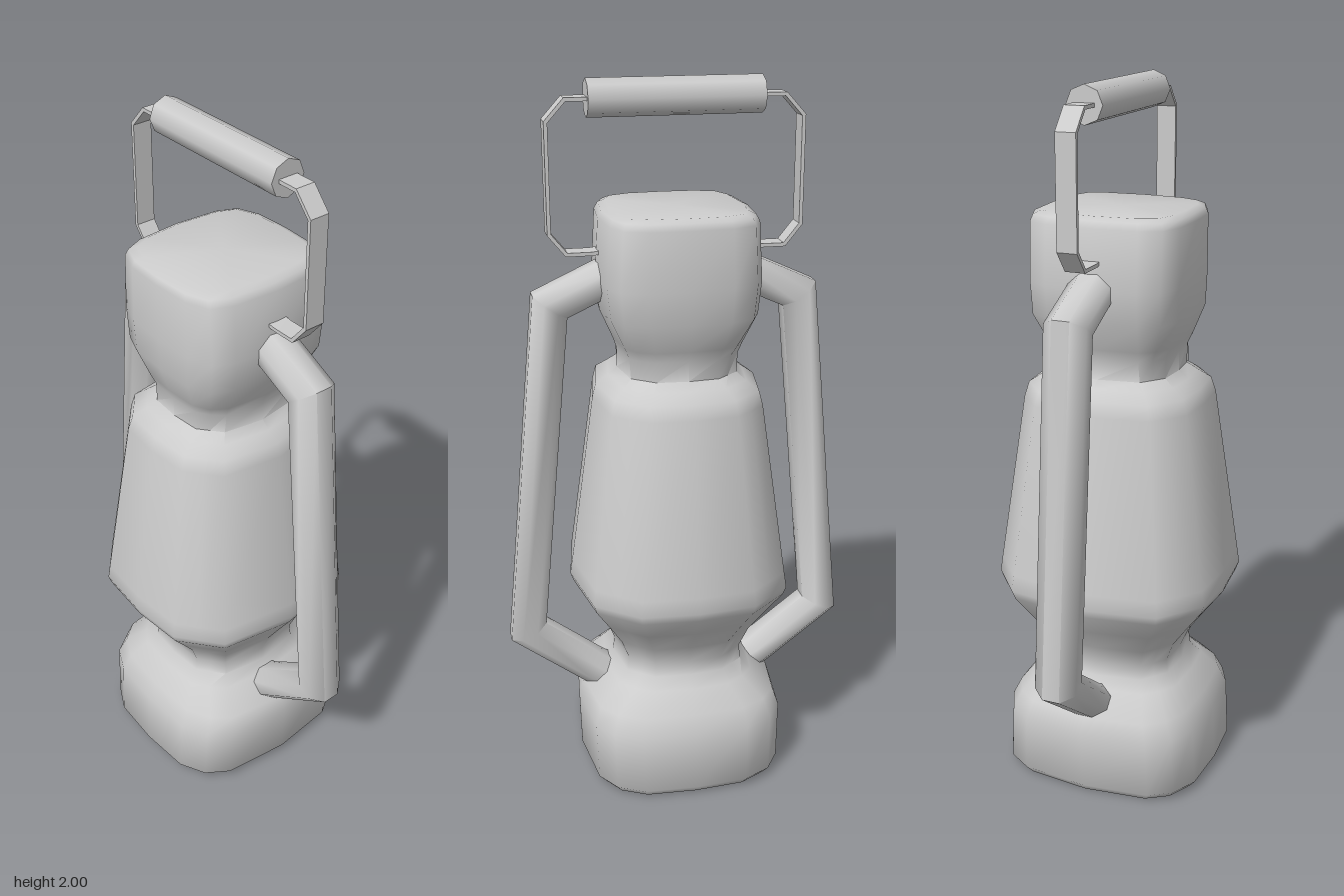
import * as THREE from 'three';
import { toCreasedNormals } from 'three/addons/utils/BufferGeometryUtils.js';

const material = new THREE.MeshStandardMaterial({ color: 0xcccccc });

// Skin a list of equal-length rings and close both ends with fans.
function loft(name, rings, crease) {
  const n = rings[0].length, last = rings.length - 1;
  const pos = rings.flat(2), index = [];
  for (let i = 0; i < last; i++) {
    for (let j = 0; j < n; j++) {
      const k = (j + 1) % n, a = i * n + j, b = i * n + k;
      index.push(a, a + n, b, b, a + n, b + n);
    }
  }
  for (const i of [0, last]) {
    const c = pos.length / 3;
    pos.push(...[0, 1, 2].map((d) => rings[i].reduce((s, p) => s + p[d], 0) / n));
    for (let j = 0; j < n; j++) {
      const a = i * n + j, b = i * n + (j + 1) % n;
      if (i === 0) index.push(c, a, b); else index.push(c, b, a);
    }
  }
  const g = new THREE.BufferGeometry();
  g.setAttribute('position', new THREE.Float32BufferAttribute(pos, 3));
  g.setIndex(index);
  const mesh = new THREE.Mesh(toCreasedNormals(g, crease), material);
  mesh.name = name;
  return mesh;
}

// Sweep a section (u in plane, v along z) along an xy path with mitred corners.
function sweep(name, path, section, crease) {
  const pts = path.map(([x, y]) => new THREE.Vector2(x, y));
  const dirs = pts.slice(1).map((p, i) => p.clone().sub(pts[i]).normalize());
  const rings = pts.map((p, i) => {
    const d0 = dirs[Math.max(i - 1, 0)], d1 = dirs[Math.min(i, dirs.length - 1)];
    const d = d0.clone().add(d1).normalize(), miter = 1 / d.dot(d1);
    return section.map(([u, v]) => [p.x + d.y * u * miter, p.y - d.x * u * miter, v]);
  });
  return loft(name, rings, crease);
}

// Quarter outlines of unit size: faceted for the globe, squarer for cap and base.
const FACETED = [[1, 0], [0.887, 0.67], [0.7, 0.815], [0.516, 0.96], [0, 1]];
const SQUARE = [[1, 0], [0.95, 0.6], [0.83, 0.86], [0.52, 0.975], [0, 1]];

function bodyRing([y, rx, rz, square]) {
  const q = FACETED.map(([x, z], i) => [
    (x + (SQUARE[i][0] - x) * square) * rx, (z + (SQUARE[i][1] - z) * square) * rz]);
  const back = q.slice(0, -1).reverse();
  const half = [...q, ...back.map(([x, z]) => [-x, z])];
  const rest = half.slice(1, -1).reverse().map(([x, z]) => [x, -z]);
  return [...half, ...rest].map(([x, z]) => [x, y, z]);
}

export function createModel() {
  const group = new THREE.Group();
  group.name = 'lantern';

  // Base, waist, globe, neck and cap: height, half width, half depth, squareness
  const profile = [
    [0.005, 0.27, 0.285, 0.6], [0.03, 0.29, 0.305, 0.6], [0.2, 0.295, 0.295, 0.6],
    [0.25, 0.28, 0.27, 0.5], [0.31, 0.215, 0.225, 0.3], [0.34, 0.19, 0.195, 0],
    [0.38, 0.185, 0.19, 0], [0.44, 0.21, 0.215, 0], [0.51, 0.255, 0.265, 0],
    [0.58, 0.302, 0.317, 0], [0.605, 0.311, 0.326, 0], [0.65, 0.304, 0.32, 0],
    [1.14, 0.235, 0.25, 0], [1.18, 0.225, 0.237, 0], [1.205, 0.19, 0.2, 0],
    [1.225, 0.165, 0.172, 0], [1.28, 0.165, 0.172, 0.3], [1.31, 0.175, 0.185, 0.6],
    [1.39, 0.21, 0.213, 1], [1.48, 0.22, 0.215, 1], [1.64, 0.21, 0.216, 1],
    [1.658, 0.2, 0.21, 1], [1.667, 0.18, 0.19, 1],
  ];
  group.add(loft('lanternBody', profile.map(bodyRing), 0.95));

  // Side frame tubes
  const tube = [];
  for (let i = 0; i < 8; i++) {
    const a = (i + 0.5) * Math.PI / 4;
    tube.push([Math.cos(a) * 0.053, Math.sin(a) * 0.065]);
  }
  const framePath = [[0.15, 0.23], [0.25, 0.295], [0.44, 0.44], [0.347, 1.41], [0.15, 1.5]];
  for (const s of [1, -1]) {
    group.add(sweep(s > 0 ? 'leftFrameTube' : 'rightFrameTube',
      framePath.map(([x, y]) => [s * x, y]), tube, 0.9));
  }

  // Flat bail strap running through the grip
  const bailHalf = [[0.19, 1.555], [0.23, 1.55], [0.298, 1.55], [0.343, 1.605],
    [0.343, 1.895], [0.293, 1.95], [0.2, 1.95]];
  const bailPath = [...bailHalf, ...[...bailHalf].reverse().map(([x, y]) => [-x, y])];
  const t = 0.005, w = 0.028;
  group.add(sweep('bailHandle', bailPath, [[t, -w], [t, w], [-t, w], [-t, -w]], 0.3));

  // Grip
  const gripGeometry = new THREE.CylinderGeometry(0.05, 0.05, 0.47, 8);
  gripGeometry.rotateZ(Math.PI / 2);
  const grip = new THREE.Mesh(gripGeometry, material);
  grip.name = 'grip';
  grip.position.y = 1.95;
  group.add(grip);

  return group;
}
